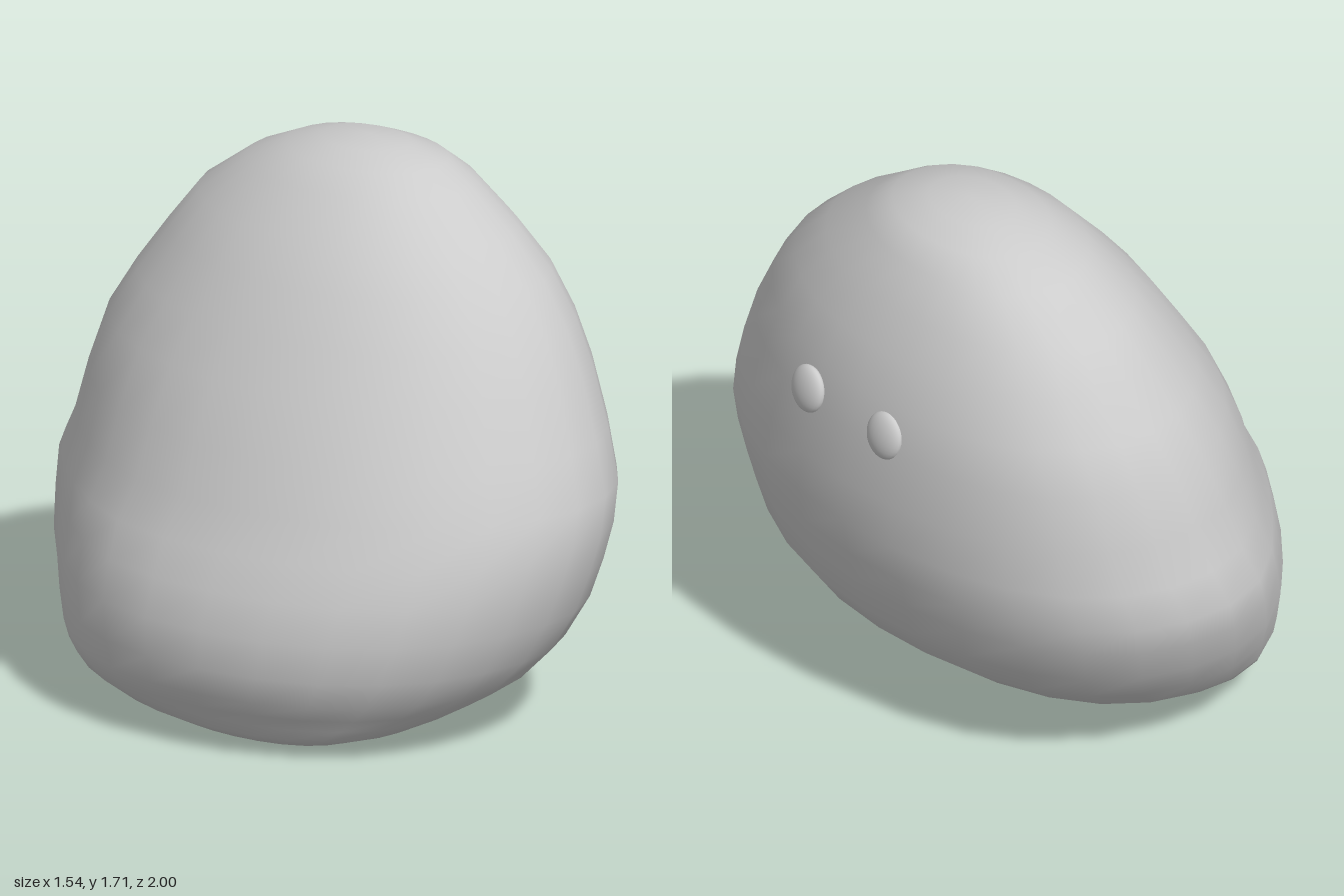
import * as THREE from 'three';
import { mergeVertices } from 'three/addons/utils/BufferGeometryUtils.js';

// Body cross-sections, bottom to top: [height, xMin, xMax, zMin, zMax]
const SECTIONS = [
  [0.0, -0.42, -0.42, 0.2, 0.2],
  [0.01, -0.52, -0.32, 0.0, 0.4],
  [0.03, -0.61, -0.18, -0.24, 0.53],
  [0.06, -0.66, 0.0, -0.49, 0.64],
  [0.1, -0.69, 0.19, -0.68, 0.72],
  [0.14, -0.72, 0.37, -0.76, 0.78],
  [0.19, -0.75, 0.5, -0.81, 0.84],
  [0.28, -0.77, 0.61, -0.87, 0.91],
  [0.4, -0.765, 0.695, -0.94, 0.96],
  [0.52, -0.725, 0.725, -0.975, 0.99],
  [0.63, -0.67, 0.755, -1.0, 1.0],
  [0.75, -0.605, 0.77, -0.96, 0.99],
  [0.9, -0.54, 0.77, -0.92, 0.93],
  [1.08, -0.44, 0.75, -0.87, 0.85],
  [1.22, -0.35, 0.72, -0.79, 0.77],
  [1.36, -0.26, 0.67, -0.69, 0.67],
  [1.48, -0.16, 0.605, -0.6, 0.54],
  [1.6, -0.05, 0.53, -0.43, 0.37],
  [1.66, 0.04, 0.45, -0.29, 0.28],
  [1.695, 0.13, 0.36, -0.16, 0.15],
  [1.71, 0.25, 0.25, 0.0, 0.0],
];
const SIDES = 28;

// Fullness of each diagonal: +x+z, -x+z, -x-z (dented at mid height), +x-z
function diagonalFullness(quadrant, y) {
  const dent = -0.09 * Math.exp(-(((y - 0.5) / 0.4) ** 2));
  return [-0.01, 0.04, dent, 0.03][quadrant];
}

// Skin closed, slightly uneven loops into one smooth surface
function loftSections(sections) {
  const positions = [];
  const index = [];
  const last = sections.length - 1;
  sections.forEach(([y, x0, x1, z0, z1], row) => {
    const rx = (x1 - x0) / 2;
    const rz = (z1 - z0) / 2;
    for (let j = 0; j < SIDES; j++) {
      const t = (j / SIDES) * Math.PI * 2;
      const fullness = diagonalFullness(Math.floor((4 * j) / SIDES), y);
      const r = 1 + fullness * Math.sin(2 * t) ** 2;
      const bend = 0.06 * Math.sin(t) ** 2;
      positions.push(
        (x0 + x1) / 2 + rx * (r * Math.cos(t) + bend),
        y,
        (z0 + z1) / 2 + rz * r * Math.sin(t),
      );
      if (row === last) continue;
      const a = row * SIDES + j;
      const b = row * SIDES + ((j + 1) % SIDES);
      const c = a + SIDES;
      const d = b + SIDES;
      if (row > 0) index.push(a, c, b);
      if (row < last - 1) index.push(b, c, d);
    }
  });
  const geometry = new THREE.BufferGeometry();
  geometry.setAttribute('position', new THREE.Float32BufferAttribute(positions, 3));
  geometry.setIndex(index);
  const welded = mergeVertices(geometry);
  welded.computeVertexNormals();
  return welded;
}

export function createModel() {
  const group = new THREE.Group();
  group.name = 'roundCreature';
  const material = new THREE.MeshStandardMaterial({ color: 0xcccccc });

  // Leaning, egg-like body
  const body = new THREE.Mesh(loftSections(SECTIONS), material);
  body.name = 'body';
  group.add(body);

  // Two flattened bead eyes set into the +x face
  const eyeGeometry = new THREE.SphereGeometry(1, 24, 16);
  for (const [name, z, yaw] of [['leftEye', -0.142, 0.04], ['rightEye', 0.207, -0.06]]) {
    const eye = new THREE.Mesh(eyeGeometry, material);
    eye.name = name;
    eye.scale.set(0.03, 0.077, 0.072);
    eye.position.set(0.732, 1.12, z);
    eye.rotation.set(0, yaw, 0.18);
    group.add(eye);
  }
  return group;
}
